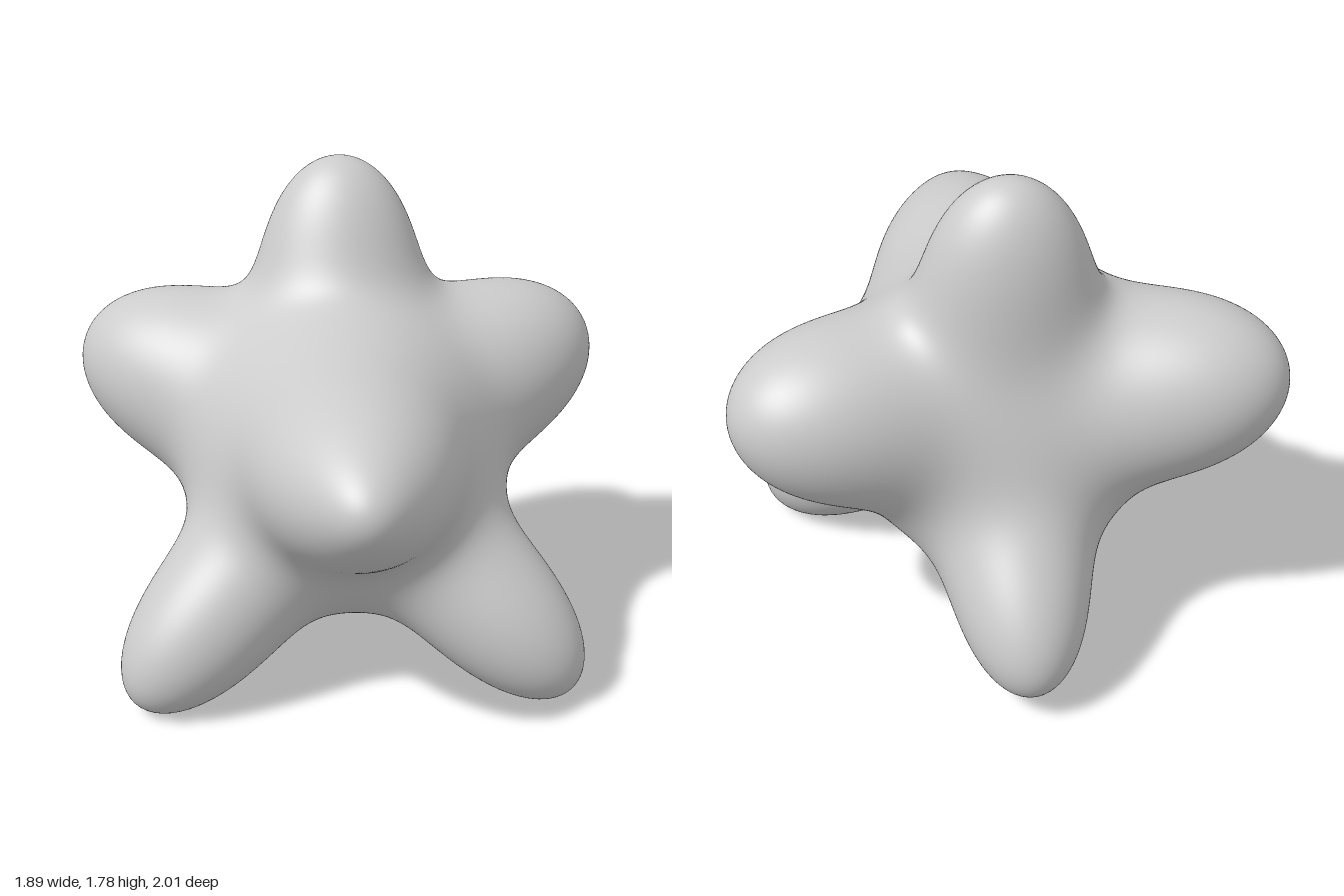
import * as THREE from 'three';
import { mergeVertices } from 'three/addons/utils/BufferGeometryUtils.js';

const CORE = new THREE.Vector3(0, 0.75, -0.1);
const CORE_RADIUS = 0.53;
const BLEND = 0.1;

// A limb is an ellipsoid: centre, direction, half length, half width (x) and half depth
const limb = (centre, direction, length, width, depth = width) => ({
  centre: new THREE.Vector3(...centre).sub(CORE),
  dir: new THREE.Vector3(...direction).normalize(),
  length, width, depth,
});

const limbs = [
  limb([0, 1.35, -0.345], [0, 1, -0.11], 0.43, 0.275, 0.22),     // top lobe
  limb([0, 0.92, 0.35], [0, 0.09, 1], 0.53, 0.35, 0.315),        // front lobe
  limb([0, 0.985, 0.75], [0, 0.05, 1], 0.225, 0.11),             // front lobe tip
  limb([0, 0.4, -0.6], [0, -0.58, -0.81], 0.46, 0.235, 0.26),    // back foot
];
for (const side of [-1, 1]) {
  limbs.push(limb([side * 0.52, 0.95, -0.38], [side * 0.89, 0.26, -0.37], 0.45, 0.31)); // side arms
  limbs.push(limb([side * 0.46, 0.35, 0.27], [side * 0.67, -0.64, 0.37], 0.46, 0.24));  // front feet
}

// Approximate distance to a limb's surface
const offset = new THREE.Vector3();
function limbDistance(p, { centre, dir, length, width, depth }) {
  offset.subVectors(p, centre);
  const along = offset.dot(dir);
  offset.addScaledVector(dir, -along);
  const u = along / length;
  const v = offset.x / width;
  const w = Math.hypot(offset.y, offset.z) / depth;
  const k = Math.hypot(u, v, w);
  return (k * (k - 1)) / Math.hypot(u / length, v / width, w / depth);
}

// Smoothly blended distance, measured from the core
function field(p) {
  let sum = Math.exp((CORE_RADIUS - p.length()) / BLEND);
  for (const part of limbs) sum += Math.exp(-limbDistance(p, part) / BLEND);
  return -BLEND * Math.log(sum);
}

// Distance from the core to the skin along one direction
function skinDistance(dir) {
  const p = new THREE.Vector3();
  const at = (r) => field(p.copy(dir).multiplyScalar(r));
  const step = 0.03;
  let outer = 1.4;
  while (outer > step && at(outer - step) > 0) outer -= step;
  let inner = outer - step;
  for (let i = 0; i < 14; i++) {
    const mid = (inner + outer) / 2;
    if (at(mid) > 0) outer = mid;
    else inner = mid;
  }
  return (inner + outer) / 2;
}

export function createModel() {
  // Even sphere pushed out to the blended skin
  const sphere = new THREE.IcosahedronGeometry(1, 60);
  sphere.deleteAttribute('uv');
  sphere.deleteAttribute('normal');
  const geometry = mergeVertices(sphere, 1e-5);
  const pos = geometry.attributes.position;
  const dir = new THREE.Vector3();
  for (let i = 0; i < pos.count; i++) {
    dir.fromBufferAttribute(pos, i).normalize();
    dir.multiplyScalar(skinDistance(dir)).add(CORE);
    pos.setXYZ(i, dir.x, dir.y, dir.z);
  }

  // Stand on the ground, centred front to back
  geometry.computeBoundingBox();
  const { min, max } = geometry.boundingBox;
  geometry.translate(0, -min.y, -(min.z + max.z) / 2);
  geometry.computeVertexNormals();

  const body = new THREE.Mesh(geometry, new THREE.MeshStandardMaterial({ color: 0xcccccc }));
  body.name = 'lobedBody';
  const group = new THREE.Group();
  group.name = 'softStar';
  group.add(body);
  return group;
}
